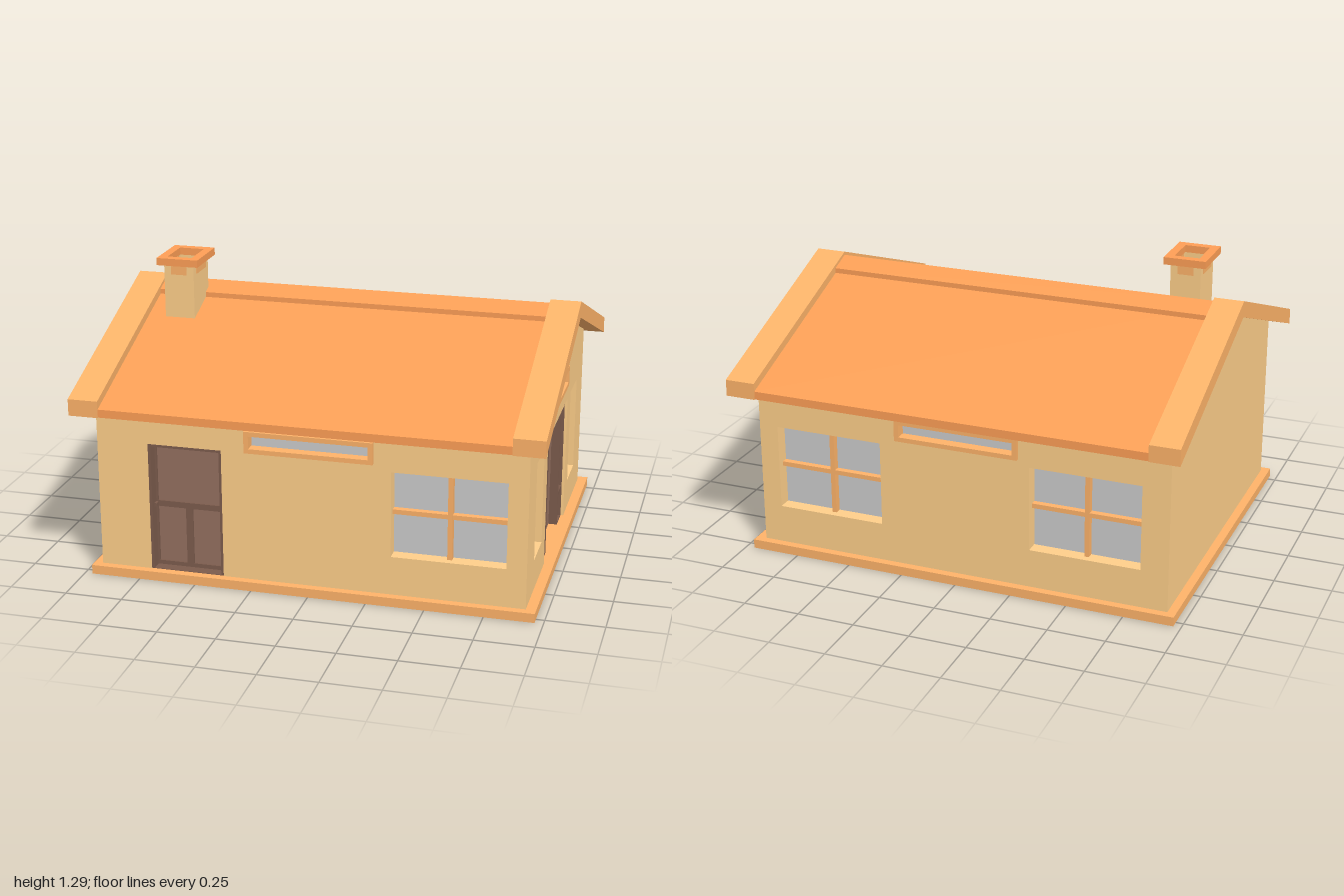
import * as THREE from 'three';

const mat = (color) => new THREE.MeshStandardMaterial({ color, flatShading: true });
const WALL = mat(0xffcf8a), TRIM = mat(0xffb369), ROOF = mat(0xff9f56);
const DOOR = mat(0x947060), FRAME = mat(0x7c5c4d), GLASS = mat(0xcccccc);
const T = 0.08; // wall thickness

function add(parent, name, geometry, material) {
  const mesh = new THREE.Mesh(geometry, material);
  mesh.name = name;
  parent.add(mesh);
  return mesh;
}

// Box given by its minimum and maximum corners
function box(parent, name, material, [x0, y0, z0], [x1, y1, z1]) {
  const g = new THREE.BoxGeometry(x1 - x0, y1 - y0, z1 - z0);
  g.translate((x0 + x1) / 2, (y0 + y1) / 2, (z0 + z1) / 2);
  return add(parent, name, g, material);
}

const corners = ([x0, y0, x1, y1]) => [[x0, y0], [x1, y0], [x1, y1], [x0, y1]];
const vec = (pts) => pts.map(([x, y]) => new THREE.Vector2(x, y));

// Outline with rectangular openings, extruded from z0 to z1
function panel(parent, name, material, outline, holes, z0, z1) {
  const shape = new THREE.Shape(vec(outline));
  for (const h of holes) shape.holes.push(new THREE.Path(vec(corners(h))));
  const g = new THREE.ExtrudeGeometry(shape, { depth: z1 - z0, bevelEnabled: false });
  g.translate(0, 0, z0);
  return add(parent, name, g, material);
}

// Facade group: local z = 0 is the outer wall surface, facing +z
function facade(parent, name, outline, holes, x, z, turn) {
  const g = new THREE.Group();
  g.name = name;
  g.position.set(x, 0, z);
  g.rotation.y = turn;
  parent.add(g);
  panel(g, 'wall', WALL, outline, holes, -T, 0);
  return g;
}

// Recessed pane with crossing glazing bars
function crossWindow(parent, [x0, y0, x1, y1], barY) {
  const g = new THREE.Group(), cx = (x0 + x1) / 2, b = 0.01;
  g.name = 'window';
  parent.add(g);
  box(g, 'glass', GLASS, [x0, y0, -T], [x1, y1, -0.06]);
  box(g, 'verticalBar', TRIM, [cx - b, y0, -0.06], [cx + b, y1, -0.03]);
  box(g, 'horizontalBar', TRIM, [x0, barY - b, -0.06], [x1, barY + b, -0.032]);
}

// Long narrow window in a projecting frame
function transom(parent, [x0, y0, x1, y1]) {
  const g = new THREE.Group(), w = 0.02;
  g.name = 'transomWindow';
  parent.add(g);
  panel(g, 'transomFrame', TRIM, corners([x0, y0, x1, y1]),
    [[x0 + w, y0 + w, x1 - w, y1 - w]], -0.05, 0.017);
  box(g, 'glass', GLASS, [x0 + w, y0 + w, -0.05], [x1 - w, y1 - w, -0.03]);
}

// Gabled strip spanning x0..x1, given half depth and the heights of both surfaces
function gableStrip(parent, name, material, half, eaveTop, ridgeTop, eaveLow, ridgeLow, x0, x1) {
  const pts = [[-half, eaveLow], [0, ridgeLow], [half, eaveLow], [half, eaveTop], [0, ridgeTop], [-half, eaveTop]];
  panel(parent, name, material, pts, [], x0, x1).rotation.y = Math.PI / 2;
}

function buildFront(house) {
  const win = [0.35, 0.21, 0.835, 0.585], top = [-0.275, 0.615, 0.275, 0.71];
  const door = [-0.705, 0.03, -0.38, 0.61];
  const f = facade(house, 'frontFacade', corners([-0.85, 0.02, 0.84, 0.8]), [win, top, door], 0, 0.75, 0);
  crossWindow(f, win, 0.4);
  transom(f, top);
  // Single door: jamb lining, leaf with three sunk panels, handle
  const d = new THREE.Group();
  d.name = 'frontDoor';
  f.add(d);
  panel(d, 'doorJamb', FRAME, corners([-0.705, 0.03, -0.38, 0.61]), [[-0.693, 0.042, -0.392, 0.598]], -T, -0.003);
  panel(d, 'doorLeaf', FRAME, corners([-0.693, 0.04, -0.392, 0.598]),
    [[-0.685, 0.338, -0.4, 0.59], [-0.685, 0.06, -0.56, 0.312], [-0.53, 0.06, -0.4, 0.312]], -0.07, -0.05);
  box(d, 'doorPanels', DOOR, [-0.69, 0.045, -T], [-0.395, 0.595, -0.06]);
  box(d, 'doorHandle', FRAME, [-0.7, 0.317, -0.05], [-0.682, 0.333, -0.025]);
}

function buildBack(house) {
  const wins = [[-0.835, 0.21, -0.35, 0.585], [0.325, 0.21, 0.81, 0.585]];
  const top = [-0.275, 0.615, 0.275, 0.71];
  const f = facade(house, 'backFacade', corners([-0.84, 0.02, 0.85, 0.8]), [...wins, top], 0, -0.75, Math.PI);
  wins.forEach((w) => crossWindow(f, w, 0.4));
  transom(f, top);
}

function buildGables(house) {
  const outline = [[-0.75, 0.02], [0.75, 0.02], [0.75, 0.8], [0, 1.075], [-0.75, 0.8]];
  const wins = [[-0.567, 0.18, -0.373, 0.61], [0.373, 0.18, 0.567, 0.61]];
  const top = [-0.185, 0.705, 0.185, 0.8], entry = [-0.28, 0.03, 0.28, 0.61];
  const f = facade(house, 'leftGable', outline, [...wins, top, entry], 0.92, 0, Math.PI / 2);
  wins.forEach((w) => crossWindow(f, w, 0.397));
  transom(f, top);
  // Wide entrance: centre door with a glazed sidelight on each side
  const d = new THREE.Group();
  d.name = 'mainEntrance';
  f.add(d);
  const side = [-1, 1].flatMap((s) => [[0.195, 0.59], [0.045, 0.178]].map(([y0, y1]) =>
    [s < 0 ? -0.265 : 0.175, y0, s < 0 ? -0.175 : 0.265, y1]));
  panel(d, 'entranceFrame', FRAME, corners(entry), [...side, [-0.165, 0.038, 0.165, 0.592]], -T, -0.012);
  box(d, 'centreDoor', DOOR, [-0.165, 0.038, -T], [0.165, 0.592, -0.05]);
  side.forEach(([x0, y0, x1, y1], i) => box(d, i % 2 ? 'lowerPanel' : 'sidelightGlass',
    i % 2 ? DOOR : GLASS, [x0, y0, -T], [x1, y1, i % 2 ? -0.03 : -0.05]));

  facade(house, 'rightGable', outline, [], -0.93, 0, -Math.PI / 2);
}

function buildRoof(house) {
  const r = new THREE.Group();
  r.name = 'roof';
  house.add(r);
  gableStrip(r, 'roofSlab', ROOF, 0.873, 0.79, 1.11, 0.755, 1.075, -0.87, 0.867);
  gableStrip(r, 'ridgeCap', ROOF, 0.095, 1.097, 1.132, 1.07, 1.105, -0.87, 0.867);
  gableStrip(r, 'bargeBoard', TRIM, 0.875, 0.825, 1.147, 0.753, 1.075, -1, -0.87);
  gableStrip(r, 'bargeBoard', TRIM, 0.875, 0.825, 1.147, 0.753, 1.075, 0.867, 1);
}

function buildChimney(house) {
  const c = new THREE.Group();
  c.name = 'chimney';
  c.position.set(-0.724, 0, 0.153);
  house.add(c);
  // Hollow rectangular sleeve standing on y0
  const sleeve = (name, m, w, d, y0, y1) => {
    const mesh = panel(c, name, m, corners([-w, -d, w, d]), [[-0.055, -0.08, 0.055, 0.08]], 0, y1 - y0);
    mesh.rotation.x = -Math.PI / 2;
    mesh.position.y = y0;
  };
  sleeve('chimneyShaft', WALL, 0.067, 0.095, 0.98, 1.255);
  sleeve('chimneyCap', ROOF, 0.093, 0.118, 1.255, 1.287);
  box(c, 'flueFloor', TRIM, [-0.056, 1.18, -0.081], [0.056, 1.21, 0.081]);
  // Small vents beneath the cap
  for (const s of [-1, 1]) {
    box(c, 'vent', TRIM, [-0.035, 1.212, s * 0.09 - 0.008], [0.035, 1.256, s * 0.09 + 0.008]);
    box(c, 'vent', TRIM, [s * 0.062 - 0.008, 1.212, -0.06], [s * 0.062 + 0.008, 1.256, 0.06]);
  }
}

export function createModel() {
  const house = new THREE.Group();
  house.name = 'house';
  box(house, 'basePlinth', TRIM, [-0.967, 0, -0.785], [0.963, 0.04, 0.785]);
  buildFront(house);
  buildBack(house);
  buildGables(house);
  buildRoof(house);
  buildChimney(house);
  return house;
}
